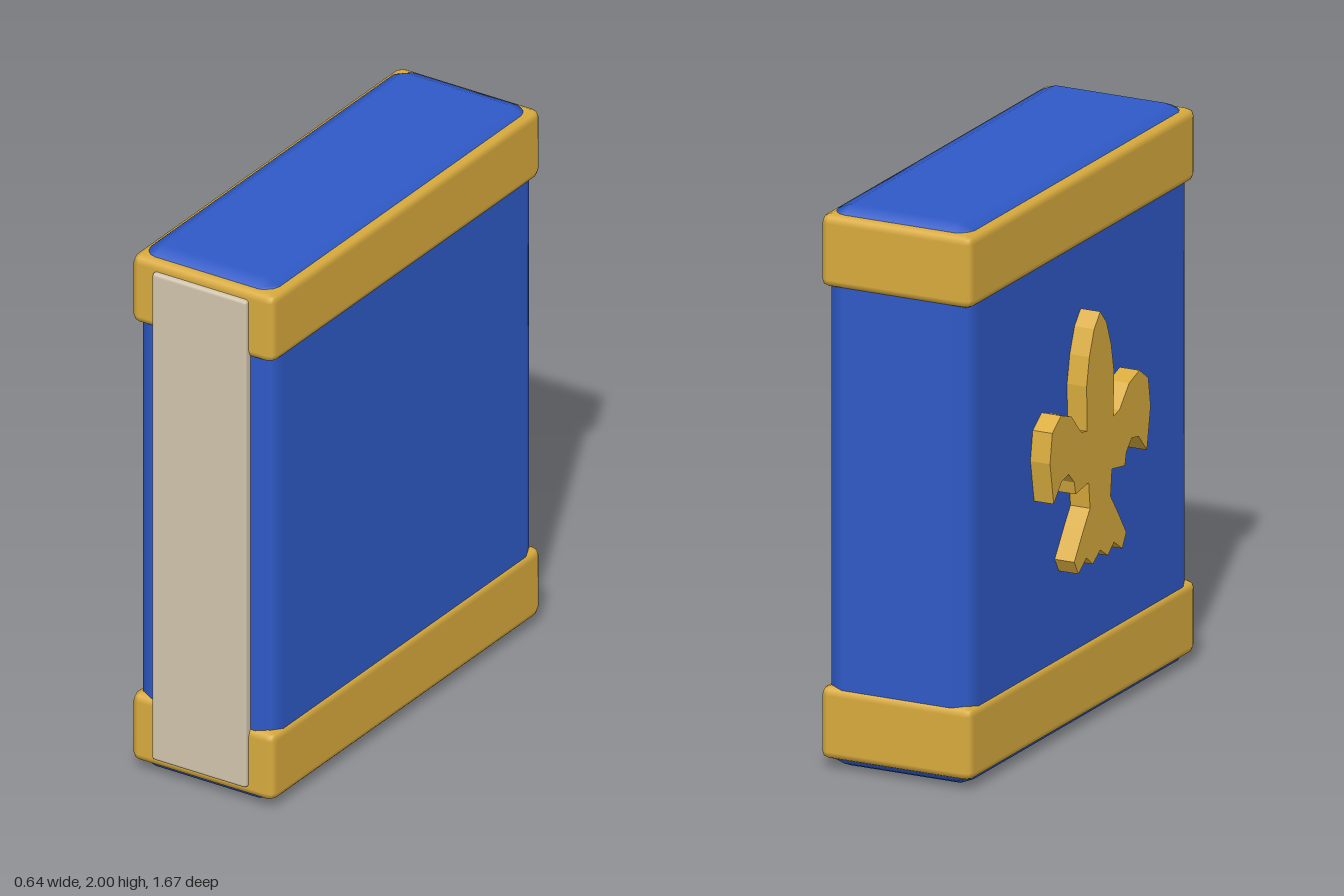
import * as THREE from 'three';
import { RoundedBoxGeometry } from 'three/addons/geometries/RoundedBoxGeometry.js';

const material = (name, color) => {
  const m = new THREE.MeshStandardMaterial({ color });
  m.name = name;
  return m;
};

export function createModel() {
  const group = new THREE.Group();
  const blue = material('blue', 0x2f5ac8);
  const gold = material('gold', 0xdaac3e);
  const cream = material('cream', 0xd3c7af);

  const add = (name, geometry, mat, x, y, z) => {
    const mesh = new THREE.Mesh(geometry, mat);
    mesh.name = name;
    mesh.position.set(x, y, z);
    group.add(mesh);
    return mesh;
  };
  const block = (name, w, h, d, radius, mat, x, y, z) =>
    add(name, new RoundedBoxGeometry(w, h, d, 1, radius), mat, x, y, z);

  // Bevelled slab with a trim band near each end
  block('body', 0.56, 2, 1.63, 0.07, blue, 0.03, 1, -0.01);
  block('upperBand', 0.58, 0.26, 1.655, 0.03, gold, 0.03, 1.845, -0.01);
  block('lowerBand', 0.58, 0.26, 1.655, 0.03, gold, 0.03, 0.163, -0.01);

  // Pale plate on the front
  block('frontPlate', 0.385, 1.87, 0.06, 0.012, cream, 0.03, 1.005, 0.806);

  // Raised lily emblem on the right side: half outline, mirrored
  const half = [
    [0, 1.49], [0.045, 1.44], [0.08, 1.35], [0.1, 1.25], [0.096, 1.09], // centre petal
    [0.14, 1.1], [0.21, 1.175], [0.285, 1.2], [0.35, 1.155], [0.367, 1.05], [0.34, 0.9], // side petal
    [0.28, 0.965], [0.23, 0.975], [0.19, 0.935], [0.18, 0.89], [0.085, 0.905], // cross bar
    [0.075, 0.81], [0.12, 0.75], [0.19, 0.65], [0.16, 0.6], [0.1, 0.64], [0.055, 0.605], [0, 0.64], // foot
  ];
  const mirrored = half.slice(1, -1).reverse().map(([u, y]) => [-u, y]);
  const outline = [...half, ...mirrored].map(([u, y]) => new THREE.Vector2(u, y));
  const emblem = add(
    'emblem',
    new THREE.ExtrudeGeometry(new THREE.Shape(outline), { depth: 0.085, bevelEnabled: false }),
    gold, -0.24, 0, -0.012
  );
  emblem.rotation.y = -Math.PI / 2;

  return group;
}
